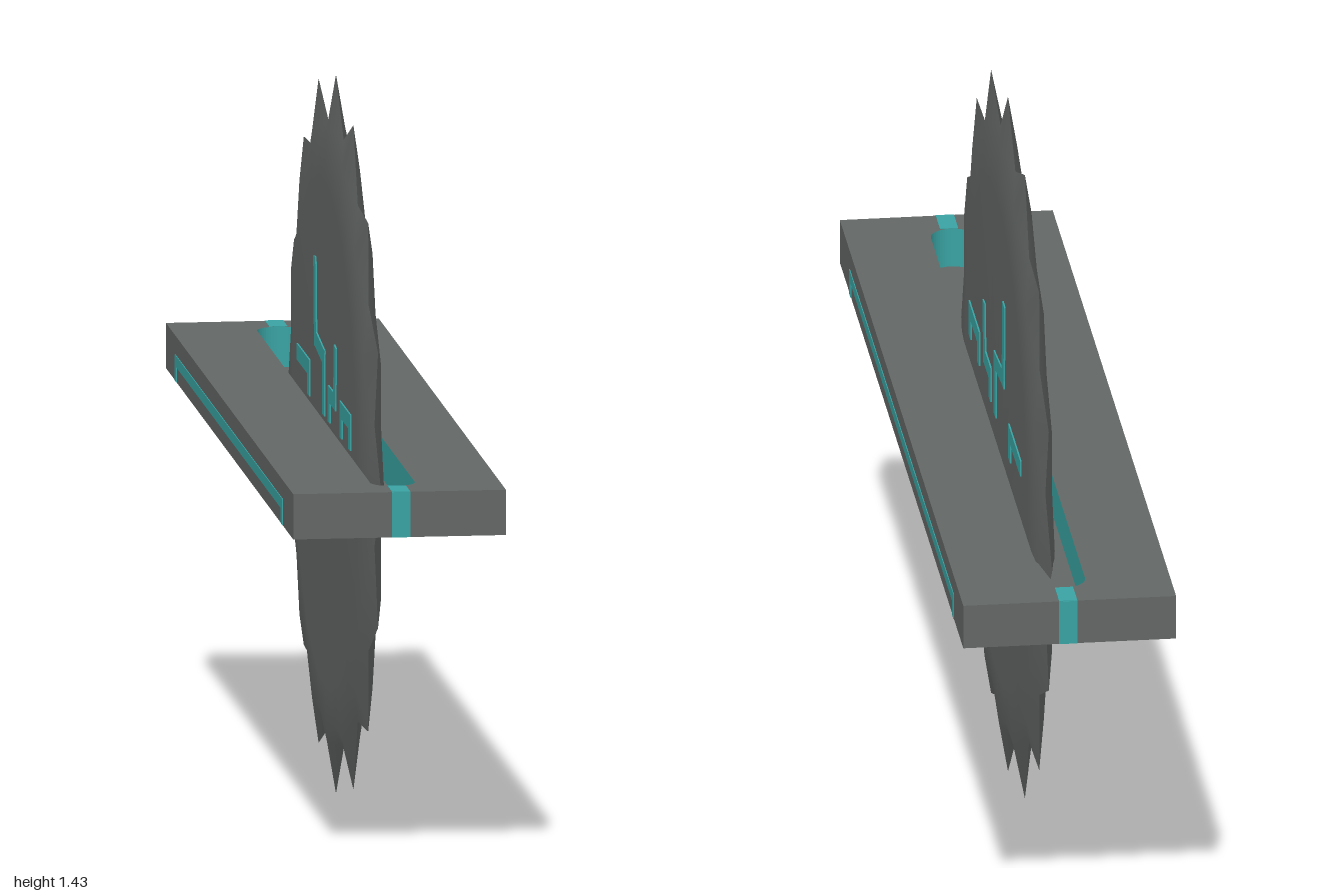
import * as THREE from 'three';

const grey = new THREE.MeshStandardMaterial({ color: 0x636765 });
grey.name = 'steelGrey';
const teal = new THREE.MeshStandardMaterial({ color: 0x3aa3a3 });
teal.name = 'tealGlow';

const BLADE_Y = 0.715, PLATE_BOTTOM = 0.68, PLATE_TOP = 0.77, FLOOR = 0.69;

function box(name, material, size, pos) {
  const mesh = new THREE.Mesh(new THREE.BoxGeometry(...size), material);
  mesh.name = name;
  mesh.position.set(...pos);
  return mesh;
}

// One face of the toothed disc: rings of points joined from hub to rim
function bladeSide() {
  const n = 32, pos = [0.023, 0, 0], idx = [];
  const rings = [ // [radius, half thickness] on the tooth and in the gap
    [[0.5, 0.023], [0.5, 0.023]],
    [[0.61, 0.018], [0.575, 0.018]],
    [[0.715, 0], [0.617, 0]],
  ];
  rings.forEach((ring, k) => {
    for (let i = 0; i < n; i++) {
      const [r, t] = ring[i % 2], a = (i / n) * Math.PI * 2;
      pos.push(t, r * Math.cos(a), r * Math.sin(a));
      const j = (i + 1) % n, o = 1 + k * n, p = o - n;
      if (k === 0) idx.push(0, o + i, o + j);
      else if (i % 2) idx.push(p + i, o + i, p + j, o + i, o + j, p + j);
      else idx.push(p + i, o + i, o + j, p + i, o + j, p + j);
    }
  });
  const g = new THREE.BufferGeometry();
  g.setAttribute('position', new THREE.Float32BufferAttribute(pos, 3));
  g.setIndex(idx);
  g.computeVertexNormals();
  return g;
}

// Thin painted line following [z, y] points on a face at the given x
function paintedLine(name, points, x, width) {
  const group = new THREE.Group();
  group.name = name;
  for (let i = 1; i < points.length; i++) {
    const [z0, y0] = points[i - 1], [z1, y1] = points[i];
    const length = Math.hypot(z1 - z0, y1 - y0) + width;
    const seg = box(name + 'Segment', teal, [0.005, width, length], [x, (y0 + y1) / 2, (z0 + z1) / 2]);
    seg.rotation.x = -Math.atan2(y1 - y0, z1 - z0);
    group.add(seg);
  }
  return group;
}

// Upper part of the guard with a round-ended slot whose walls are teal
function guardFrame() {
  const shape = new THREE.Shape([[-0.21, -1], [0.21, -1], [0.21, 1], [-0.21, 1]].map(p => new THREE.Vector2(...p)));
  const w = 0.044, e = 0.93 - w;
  const slot = new THREE.Path();
  slot.absarc(0, e, w, 0, Math.PI, false);
  slot.absarc(0, -e, w, Math.PI, Math.PI * 2, false);
  shape.holes.push(slot);
  const g = new THREE.ExtrudeGeometry(shape, { depth: PLATE_TOP - FLOOR, bevelEnabled: false, curveSegments: 12 });
  const [caps, sides] = g.groups.map(o => ({ ...o }));
  g.clearGroups();
  g.addGroup(caps.start, caps.count, 0);
  g.addGroup(sides.start, 24, 0); // four outer walls
  g.addGroup(sides.start + 24, sides.count - 24, 1); // slot walls
  g.rotateX(-Math.PI / 2);
  const mesh = new THREE.Mesh(g, [grey, teal]);
  mesh.name = 'guardFrame';
  mesh.position.y = FLOOR;
  return mesh;
}

export function createModel() {
  const model = new THREE.Group();
  model.name = 'sawBladeTrap';

  // Toothed blade
  const side = bladeSide();
  for (const s of [0, 1]) {
    const half = new THREE.Mesh(side, grey);
    half.name = s ? 'bladeRightFace' : 'bladeLeftFace';
    half.position.y = BLADE_Y;
    half.rotation.y = s * Math.PI;
    model.add(half);
  }

  // Guard plate
  model.add(guardFrame());
  model.add(box('guardFloor', grey, [0.42, FLOOR - PLATE_BOTTOM, 2], [0, (FLOOR + PLATE_BOTTOM) / 2, 0]));

  // Circuit lines on both blade faces and guard sides
  const circuits = [
    [[0.41, 0.77], [0.41, 0.81], [0.275, 0.81], [0.275, 0.77]],
    [[0.185, 0.905], [0.175, 0.81], [0.09, 0.81], [0.09, 0.77]],
    [[0.005, 0.77], [0.005, 0.87], [-0.125, 0.885], [-0.135, 1.03]],
    [[-0.23, 0.77], [-0.23, 0.81], [-0.395, 0.81]],
  ];
  for (const s of [1, -1]) {
    circuits.forEach(c => model.add(paintedLine('bladeCircuit', c, s * 0.0235, 0.032)));
    model.add(paintedLine('guardStripe', [[0.825, 0.692], [0.825, 0.722], [-0.84, 0.722], [-0.84, 0.692]], s * 0.209, 0.022));
  }

  // Strips wrapping over both ends of the guard
  for (const s of [1, -1]) {
    model.add(box('endStrip', teal, [0.036, PLATE_TOP - PLATE_BOTTOM, 0.004], [0.003, 0.725, s * 0.9995]));
    model.add(box('endTopStrip', teal, [0.036, 0.004, 0.07], [0.003, PLATE_TOP - 0.001, s * 0.965]));
  }
  return model;
}
